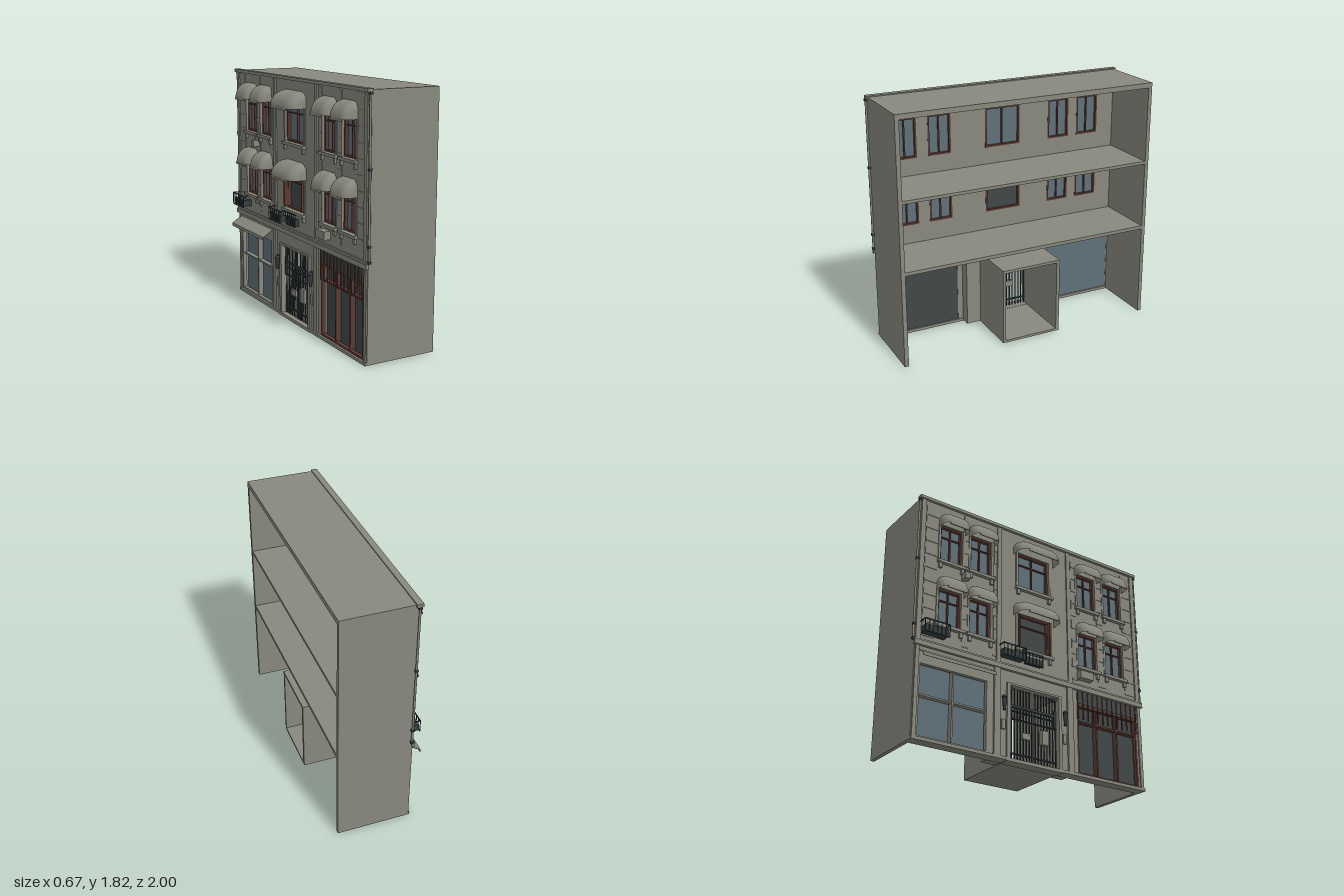
import * as THREE from 'three';

const mat = (name, color, side = THREE.FrontSide) => {
  const m = new THREE.MeshStandardMaterial({ color, side });
  m.name = name;
  return m;
};

export function createModel() {
  const root = new THREE.Group();
  root.name = 'townhouse';
  const stone = mat('stone', 0x88887e);
  const canvas = mat('awning stone', 0x88887e, THREE.DoubleSide);
  const glass = mat('blue glass', 0x5f7078);
  const dark = mat('dark glass', 0x404746);
  const brown = mat('brown frame', 0x5c3a32);
  const iron = mat('iron', 0x343d3f);

  // box given by its limits on x, y and z
  const box = (name, m, x0, x1, y0, y1, z0, z1, parent = root) => {
    const b = new THREE.Mesh(new THREE.BoxGeometry(x1 - x0, y1 - y0, z1 - z0), m);
    b.position.set((x0 + x1) / 2, (y0 + y1) / 2, (z0 + z1) / 2);
    b.name = name;
    parent.add(b);
    return b;
  };
  const group = (name) => {
    const g = new THREE.Group();
    g.name = name;
    root.add(g);
    return g;
  };
  const rect = (z0, z1, y0, y1, C = THREE.Path) => {
    const p = new C();
    p.moveTo(z0, y0); p.lineTo(z1, y0); p.lineTo(z1, y1); p.lineTo(z0, y1); p.closePath();
    return p;
  };
  // wall or frame in the z-y plane with openings, thickened from xIn towards -x
  const pierced = (name, m, xIn, depth, outer, holes, parent = root) => {
    const s = rect(...outer, THREE.Shape);
    s.holes = holes.map((h) => rect(...h));
    const g = new THREE.ExtrudeGeometry(s, { depth, bevelEnabled: false });
    g.rotateY(-Math.PI / 2);
    const mesh = new THREE.Mesh(g, m);
    mesh.position.x = xIn;
    mesh.name = name;
    parent.add(mesh);
  };

  // window openings: [z0, z1] on two storeys
  const cols = [[0.66, 0.835], [0.4, 0.575], [-0.15, 0.13], [-0.56, -0.385], [-0.81, -0.63]];
  const rows = [[0.855, 1.14], [1.35, 1.645]];
  const shopDark = [0.37, 0.94, 0.025, 0.555], shopBlue = [-0.94, -0.39, 0.025, 0.555];
  const door = [-0.215, 0.2, 0.022, 0.555];
  const openings = [shopDark, shopBlue, door];
  for (const [y0, y1] of rows) for (const [z0, z1] of cols) openings.push([z0, z1, y0, y1]);

  // shell, open at the rear
  pierced('facade', stone, -0.14, 0.06, [-0.975, 0.985, 0.01, 1.81], openings);
  box('sideWall', stone, -0.2, 0.33, 0.005, 1.81, 0.955, 0.985);
  box('sideWall', stone, -0.2, 0.33, 0.005, 1.81, -0.975, -0.947);
  box('roof', stone, -0.2, 0.33, 1.775, 1.812, -0.975, 0.985);
  box('upperFloor', stone, -0.15, 0.328, 1.203, 1.225, -0.96, 0.96);
  box('lowerFloor', stone, -0.15, 0.328, 0.69, 0.715, -0.96, 0.96);

  // entrance passage and the portal block around it
  pierced('passage', stone, 0.33, 0.5, [-0.24, 0.22, 0.005, 0.575], [door]);
  pierced('portalBlock', stone, -0.06, 0.1, [-0.35, 0.33, 0.01, 0.69], [door]);
  pierced('portalFrame', stone, -0.2, 0.014, [-0.245, 0.225, 0, 0.57], [door]);
  for (const z of [-0.325, 0.305]) box('portalPilaster', stone, -0.215, -0.2, 0.005, 0.66, z - 0.025, z + 0.025);

  // bands, cornice, pilasters and plinth
  box('cornice', stone, -0.22, -0.175, 1.797, 1.82, -0.99, 0.995);
  box('band', stone, -0.222, -0.2, 0.66, 0.695, -0.985, 0.995);
  box('bandFillet', stone, -0.212, -0.2, 0.695, 0.71, -0.98, 0.99);
  box('plinth', stone, -0.216, -0.13, 0.004, 0.026, -0.975, -0.245);
  box('plinth', stone, -0.216, -0.13, 0.004, 0.026, 0.225, 0.985);
  box('doorStep', stone, -0.216, -0.13, 0, 0.024, -0.245, 0.225);
  for (const z of [-0.955, -0.315, 0.315, 0.96]) box('pilaster', stone, -0.21, -0.2, 0.71, 1.8, z - 0.018, z + 0.018);
  for (const z of [-0.955, 0.965]) box('shopPier', stone, -0.21, -0.2, 0.026, 0.66, z - 0.014, z + 0.014);
  // coursed stone slabs between the windows
  for (let i = 0; i < 10; i++) {
    const y = 0.74 + i * 0.105;
    for (const [a, b] of [[-0.62, -0.57], [-0.36, -0.335], [0.585, 0.65], [0.34, 0.39], [-0.93, -0.83], [0.845, 0.935]])
      box('stoneCourse', stone, -0.204, -0.2, y, y + 0.1, a, b);
  }
  // corner drainpipes with brackets
  for (const z of [-0.985, 0.993]) {
    const pipe = new THREE.Mesh(new THREE.CylinderGeometry(0.008, 0.008, 1.1, 8), stone);
    pipe.position.set(-0.197, 1.25, z);
    pipe.name = 'drainpipe';
    root.add(pipe);
    for (const y of [0.705, 0.81, 1.31, 1.79]) box('pipeBracket', iron, -0.208, -0.186, y - 0.008, y + 0.008, z - 0.01, z + 0.01);
  }

  // domed awning: quarter-arc sections that shrink to rounded ends
  const domeAwning = (zc, w, r, y) => {
    const N = 24, M = 12, pos = [], idx = [];
    for (let i = 0; i <= N; i++) {
      const u = -Math.cos((i / N) * Math.PI);
      const e = Math.max(0, (Math.abs(u) - 0.55) / 0.45);
      const s = 0.5 + 0.5 * Math.sqrt(1 - e * e);
      for (let j = 0; j <= M; j++) {
        const a = (j / M) * Math.PI / 2;
        pos.push(-0.205 - r * s * Math.cos(a), y + 0.115 * s * Math.sin(a), zc + u * w / 2);
      }
      pos.push(-0.205, y, zc + u * w / 2);
    }
    const S = M + 2;
    for (let i = 0; i < N; i++) for (let j = 0; j < M; j++) {
      const a = i * S + j;
      idx.push(a, a + S, a + 1, a + 1, a + S, a + S + 1);
    }
    for (let j = 0; j < M; j++) {
      const e = N * S;
      idx.push(M + 1, j, j + 1, e + M + 1, e + j + 1, e + j);
    }
    const g = new THREE.BufferGeometry();
    g.setAttribute('position', new THREE.Float32BufferAttribute(pos, 3));
    g.setIndex(idx);
    g.computeVertexNormals();
    const m = new THREE.Mesh(g, canvas);
    m.name = 'domeAwning';
    root.add(m);
    box('awningRim', stone, -0.207 - r, -0.2 - r, y - 0.012, y + 0.003, zc - w * 0.36, zc + w * 0.36);
  };

  // windows with frame, mullion, glass, sill and awning
  rows.forEach(([y0, y1], r) => cols.forEach(([z0, z1], c) => {
    const g = group('window');
    const big = c === 2, zc = (z0 + z1) / 2, f = 0.013;
    const black = big && r === 0;
    pierced('windowFrame', brown, -0.139, 0.05, [z0, z1, y0, y1], [[z0 + f, z1 - f, y0 + f, y1 - f]], g);
    box('pane', black ? dark : glass, -0.166, -0.16, y0 + f, y1 - f, z0 + f, z1 - f, g);
    if (!black) box('mullion', brown, -0.18, -0.148, y0 + f, y1 - f, zc - 0.005, zc + 0.005, g);
    box('crossbar', brown, -0.18, -0.167, y1 - 0.09, y1 - 0.082, z0 + f, z1 - f, g);
    box('sill', stone, -0.228, -0.19, y0 - 0.022, y0, z0 - 0.025, z1 + 0.025, g);
    for (const z of [z0, z1]) {
      box('sillCorbel', stone, -0.218, -0.2, y0 - 0.06, y0 - 0.022, z - 0.012, z + 0.012, g);
      box('surround', stone, -0.208, -0.2, y0, y1, z < zc ? z - 0.018 : z, z < zc ? z : z + 0.018, g);
      // casements standing ajar
      if (black) box('casement', brown, -0.222, -0.19, y0 + f, y1 - f, z < zc ? z : z - 0.012, z < zc ? z + 0.012 : z, g);
    }
    domeAwning(zc, big ? 0.36 : 0.215, big ? 0.128 : 0.102, y1 - 0.032);
  }));

  // shop fronts
  const shop = (name, pane, frame, [z0, z1, y0, y1], n) => {
    const g = group(name);
    box('shopGlass', pane, -0.15, -0.142, y0, y1, z0, z1, g);
    pierced('shopFrame', frame, -0.17, 0.03, [z0, z1, y0, y1], [[z0 + 0.015, z1 - 0.015, y0 + 0.015, y1 - 0.015]], g);
    for (let i = 1; i < n; i++) {
      const z = z0 + (z1 - z0) * i / n;
      box('shopMullion', frame, -0.19, -0.15, y0, y1, z - 0.006, z + 0.006, g);
    }
    return g;
  };
  const blueShop = shop('blueShop', glass, stone, shopBlue, 2);
  box('shopTransom', stone, -0.188, -0.15, 0.32, 0.332, -0.93, -0.4, blueShop);
  const darkShop = shop('darkShop', dark, brown, shopDark, 3);
  box('shopTransom', brown, -0.188, -0.15, 0.425, 0.437, 0.375, 0.935, darkShop);
  box('fanlight', dark, -0.206, -0.2, 0.56, 0.655, 0.375, 0.935, darkShop);
  for (let i = 0; i <= 12; i++) {
    const z = 0.38 + i * 0.0458;
    box('fanlightBar', brown, -0.212, -0.203, 0.44, 0.655, z - 0.004, z + 0.004, darkShop);
  }

  // sloping canopy with a short valance over the blue shop
  const canopy = box('canopy', canvas, -0.048, 0.048, -0.002, 0.002, -0.285, 0.285);
  canopy.position.set(-0.24, 0.607, -0.665);
  canopy.rotation.z = 0.56;
  box('canopyValance', stone, -0.283, -0.279, 0.56, 0.584, -0.95, -0.38);

  // iron gate in two leaves
  const gate = group('gate');
  for (let i = 0; i <= 16; i++) {
    const z = -0.208 + i * 0.0251;
    const h = i === 8 ? 0.007 : 0.0028;
    box('gateBar', iron, -0.178, -0.17, 0.024, i === 8 ? 0.43 : 0.553, z - h, z + h, gate);
  }
  for (const [y, h] of [[0.42, 0.009], [0.383, 0.003], [0.325, 0.003], [0.075, 0.004]])
    box('gateRail', iron, -0.182, -0.166, y - h, y + h, -0.213, 0.198, gate);
  for (const z of [-0.2, 0.185]) {
    box('gateHinge', iron, -0.185, -0.163, 0.33, 0.46, z - 0.008, z + 0.008, gate);
    box('gateHinge', iron, -0.185, -0.163, 0.535, 0.553, z - 0.02, z + 0.02, gate);
  }
  box('letterBox', stone, -0.2, -0.165, 0.18, 0.285, 0.06, 0.118, gate);
  box('lockPlate', stone, -0.19, -0.165, 0.192, 0.237, -0.103, -0.035, gate);

  // wall lanterns beside the gate
  for (const z of [-0.272, 0.252]) {
    const g = group('lantern');
    box('lanternBracket', iron, -0.222, -0.2, 0.45, 0.462, z - 0.006, z + 0.006, g);
    const body = new THREE.Mesh(new THREE.CylinderGeometry(0.017, 0.011, 0.09, 6), iron);
    body.position.set(-0.219, 0.4, z);
    body.name = 'lanternBody';
    const cap = new THREE.Mesh(new THREE.ConeGeometry(0.02, 0.025, 6), iron);
    cap.position.set(-0.219, 0.457, z);
    cap.name = 'lanternCap';
    g.add(body, cap);
    box('wallPlate', stone, -0.212, -0.2, 0.22, 0.29, z - 0.014, z + 0.014, g);
  }

  // railed flower boxes on the first floor
  const flowerBox = (z0, z1, x, m) => {
    const g = group('flowerBox');
    box('trough', m, x + 0.008, -0.2, 0.75, 0.8, z0 + 0.006, z1 - 0.006, g);
    for (const y of [0.745, 0.835]) box('rail', iron, x, x + 0.006, y - 0.004, y + 0.004, z0, z1, g);
    for (const z of [z0, z1]) box('sideRail', iron, x, -0.2, 0.832, 0.839, z - 0.003, z + 0.003, g);
    const n = Math.round((z1 - z0) / 0.03);
    for (let i = 0; i <= n; i++) {
      const z = z0 + (z1 - z0) * i / n;
      box('baluster', iron, x, x + 0.005, 0.742, 0.838, z - 0.002, z + 0.002, g);
    }
  };
  flowerBox(-0.94, -0.75, -0.275, iron);
  flowerBox(-0.31, -0.12, -0.27, iron);
  flowerBox(-0.1, 0.05, -0.235, iron);
  box('ventBox', stone, -0.25, -0.2, 0.75, 0.81, 0.38, 0.5);
  box('ventBox', stone, -0.255, -0.2, 1.25, 1.3, -0.63, -0.59);
  return root;
}
